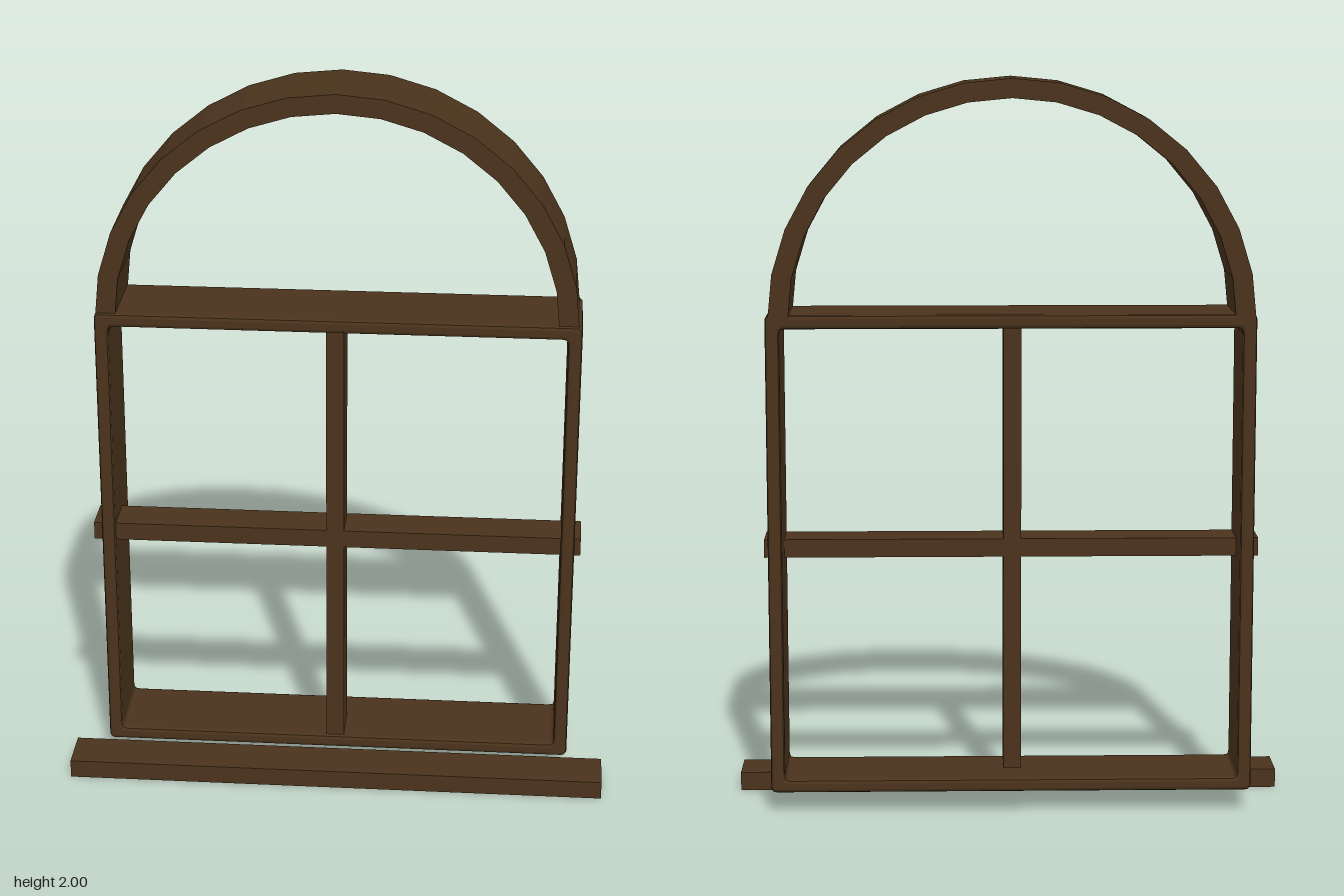
import * as THREE from 'three';

const wood = new THREE.MeshStandardMaterial({ color: 0x4a331c });

function add(group, name, geometry, x = 0, y = 0, z = 0) {
  const mesh = new THREE.Mesh(geometry, wood);
  mesh.name = name;
  mesh.position.set(x, y, z);
  group.add(mesh);
}

// Box given by its limits on each axis
function addBar(group, name, [x0, x1], [y0, y1], [z0, z1]) {
  add(group, name, new THREE.BoxGeometry(x1 - x0, y1 - y0, z1 - z0),
    (x0 + x1) / 2, (y0 + y1) / 2, (z0 + z1) / 2);
}

// Rectangle outline with small rounded corners
function roundedRect(path, x0, x1, y0, y1, r) {
  path.moveTo(x0 + r, y0);
  path.lineTo(x1 - r, y0);
  path.quadraticCurveTo(x1, y0, x1, y0 + r);
  path.lineTo(x1, y1 - r);
  path.quadraticCurveTo(x1, y1, x1 - r, y1);
  path.lineTo(x0 + r, y1);
  path.quadraticCurveTo(x0, y1, x0, y1 - r);
  path.lineTo(x0, y0 + r);
  path.quadraticCurveTo(x0, y0, x0 + r, y0);
  return path;
}

// Square casing with softened edges
function frameGeometry() {
  const b = 0.01;
  const shape = roundedRect(new THREE.Shape(), -0.66 + b, 0.655 - b, 0.06 + b, 1.375 - b, 0.006);
  shape.holes.push(roundedRect(new THREE.Path(), -0.622 - b, 0.617 + b, 0.096 - b, 1.337 + b, 0.025));
  const geo = new THREE.ExtrudeGeometry(shape, {
    depth: 0.24 - 2 * b, bevelEnabled: true, bevelThickness: b, bevelSize: b, bevelSegments: 2, curveSegments: 3,
  });
  return geo.translate(0, 0, -0.18 + b);
}

// Half ring with faceted sides
function archGeometry() {
  const steps = 16, outer = 0.652, inner = 0.598, rise = 0.642;
  const at = (r, h, i) => {
    const a = Math.PI * i / steps;
    return new THREE.Vector2(r * Math.cos(a), h * Math.sin(a));
  };
  const points = [];
  for (let i = 0; i <= steps; i++) points.push(at(outer, rise, i));
  for (let i = steps; i >= 0; i--) points.push(at(inner, rise - 0.052, i));
  return new THREE.ExtrudeGeometry(new THREE.Shape(points), { depth: 0.23, bevelEnabled: false });
}

export function createModel() {
  const group = new THREE.Group();
  group.name = 'archedWindow';
  add(group, 'frame', frameGeometry());
  add(group, 'arch', archGeometry(), -0.005, 1.358, -0.18);

  // Crossing glazing bars; the horizontal one pokes through the frame
  addBar(group, 'verticalBar', [-0.032, 0.017], [0.075, 1.36], [-0.068, 0.048]);
  addBar(group, 'horizontalBar', [-0.683, 0.672], [0.695, 0.745], [-0.068, 0.046]);

  // Sill in front of the frame's foot
  addBar(group, 'sill', [-0.755, 0.755], [0, 0.052], [0.052, 0.182]);
  return group;
}
